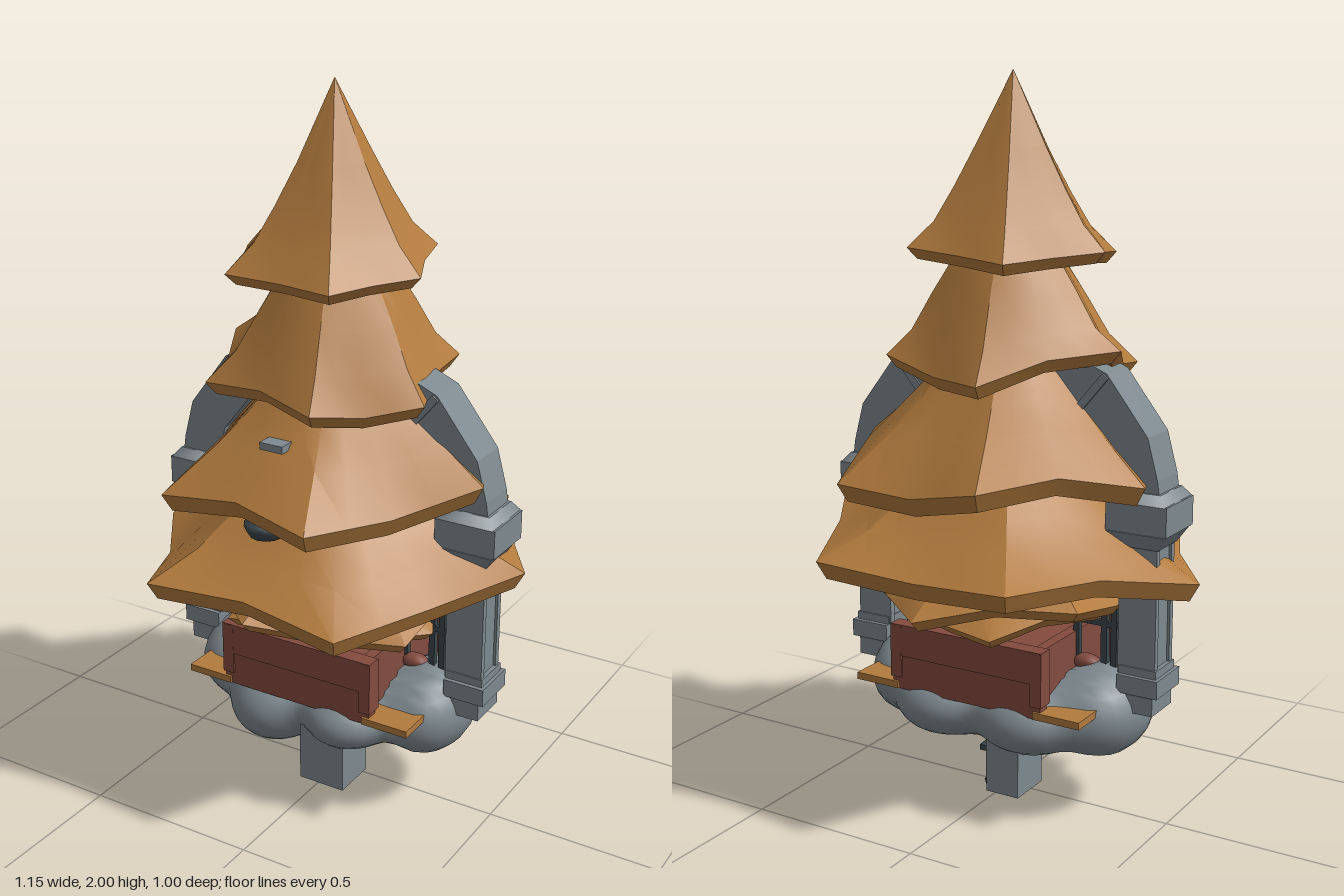
import * as THREE from 'three';
import { mergeVertices, toCreasedNormals } from 'three/addons/utils/BufferGeometryUtils.js';

const paint = (name, color) => {
  const m = new THREE.MeshStandardMaterial({ color });
  m.name = name;
  return m;
};

export function createModel() {
  const root = new THREE.Group();
  root.name = 'floatingTreeShrine';
  const tan = paint('goldenTan', 0xb27b3e);
  tan.side = THREE.DoubleSide;
  const stone = paint('stoneGrey', 0x7e898f);
  const brown = paint('redBrown', 0x834b3e);
  const iron = paint('darkIron', 0x3b464c);

  const add = (name, geo, mat, x = 0, y = 0, z = 0, parent = root) => {
    const m = new THREE.Mesh(geo, mat);
    m.name = name;
    m.position.set(x, y, z);
    parent.add(m);
    return m;
  };
  const box = (name, mat, w, h, d, x, y, z, parent) =>
    add(name, new THREE.BoxGeometry(w, h, d), mat, x, y, z, parent);
  const group = (name) => {
    const g = new THREE.Group();
    g.name = name;
    root.add(g);
    return g;
  };

  // Foliage skirt: six drooping tips joined by straight edges, a round-to-hexagonal
  // slope from the neck down to them, and a thin lip turned under to a hollow
  const tree = group('tree');
  function skirt(name, profile, tips, lip, dip, hex) {
    const N = 24, pos = [], index = [], rim = [];
    const corners = tips.map((t) => new THREE.Vector3(...t));
    corners.forEach((a, i) => {
      const b = corners[(i + 1) % 6];
      const valley = a.clone().add(b).multiply(new THREE.Vector3(0.475, 0.5, 0.475));
      valley.y += i % 2 ? dip : -dip;
      rim.push(a, a.clone().lerp(valley, 0.5), valley, valley.clone().lerp(b, 0.5));
    });
    const meanR = rim.reduce((s, v) => s + Math.hypot(v.x, v.z), 0) / N;
    const meanY = rim.reduce((s, v) => s + v.y, 0) / N;
    const ring = (r, y, star) => rim.forEach((v) => {
      const len = Math.hypot(v.x, v.z);
      const k = r * THREE.MathUtils.lerp(1, len / meanR, star) / len;
      pos.push(v.x * k, y + (v.y - meanY) * star, v.z * k);
    });
    profile.forEach(([r, y], k) => ring(r, y, k ? hex + (0.75 - hex) * k / profile.length : 0));
    ring(meanR, meanY, 1);
    ring(meanR - 0.025, meanY - lip, 1);
    ring(meanR * 0.6, meanY + lip * 0.5, 0.5);
    ring(0.001, meanY + lip * 1.5, 0);
    for (let k = 0; k < pos.length / 3 / N - 1; k++) for (let i = 0; i < N; i++) {
      const a = k * N + i, b = k * N + (i + 1) % N;
      index.push(a, b, a + N, b, b + N, a + N);
    }
    const g = new THREE.BufferGeometry();
    g.setAttribute('position', new THREE.Float32BufferAttribute(pos, 3));
    g.setIndex(index);
    return add(name, toCreasedNormals(g, 0.45), tan, 0, 0, 0, tree);
  }
  const star = (r, y, turn) => Array.from({ length: 6 }, (_, i) => {
    const a = turn + i * Math.PI / 3;
    return [r * Math.cos(a), y + (i % 2 ? 0.02 : -0.02), r * Math.sin(a)];
  });
  const crown = skirt('crownTier', [[0.001, 2], [0.09, 1.8], [0.145, 1.69], [0.195, 1.6]],
    [[0.28, 1.525, 0.04], [0.14, 1.51, 0.26], [-0.18, 1.52, 0.25], [-0.265, 1.54, 0.02], [-0.1, 1.52, -0.22], [0.19, 1.55, -0.22]], 0.03, 0, 0.7);
  crown.position.set(-0.025, 0, -0.02);
  skirt('upperTier', [[0.02, 1.53], [0.15, 1.5], [0.2, 1.41], [0.25, 1.31]],
    [[0.31, 1.21, 0.09], [0.1, 1.21, 0.31], [-0.27, 1.22, 0.24], [-0.35, 1.29, -0.02], [-0.1, 1.22, -0.33], [0.25, 1.26, -0.22]], 0.035, 0.02, 0.2);
  skirt('middleTier', [[0.02, 1.3], [0.17, 1.25], [0.24, 1.16], [0.32, 1.08]],
    [[0.48, 1.02, 0.08], [0.17, 0.95, 0.45], [-0.3, 0.95, 0.41], [-0.47, 0.96, -0.11], [-0.18, 0.98, -0.46], [0.28, 0.94, -0.41]], 0.05, 0.03, 0.2);
  skirt('lowerTier', [[0.02, 1.0], [0.24, 0.95], [0.32, 0.87], [0.4, 0.8]],
    [[0.575, 0.775, 0.01], [0.275, 0.70, 0.48], [-0.29, 0.73, 0.5], [-0.575, 0.69, 0.01], [-0.29, 0.75, -0.5], [0.285, 0.75, -0.5]], 0.05, 0.02, 0.2);
  skirt('bottomTier', [[0.02, 0.78], [0.22, 0.74], [0.31, 0.69]], star(0.43, 0.625, 0.61), 0.03, 0.02, 0.2);
  skirt('innerTier', [[0.02, 0.68], [0.16, 0.64], [0.22, 0.61]], star(0.33, 0.565, 0.14), 0.025, 0.015, 0.2);

  // Cloud base: a sphere pushed out to the surface of blended lobes
  const lobes = [
    [-0.3, 0.3, 0, 0.135, 0.13, 0.17], [0.3, 0.3, 0, 0.125, 0.13, 0.17],
    [0, 0.28, 0, 0.26, 0.1, 0.2], [-0.13, 0.25, 0.1, 0.14, 0.12, 0.165],
    [0.12, 0.28, 0.11, 0.13, 0.09, 0.16], [-0.14, 0.28, -0.11, 0.15, 0.1, 0.15],
    [0.13, 0.28, -0.1, 0.15, 0.1, 0.16],
  ];
  const field = (p) => lobes.reduce((s, [x, y, z, a, b, c]) =>
    s + Math.exp(-7 * (Math.hypot((p.x - x) / a, (p.y - y) / b, (p.z - z) / c) - 1)), 0);
  let cloud = new THREE.SphereGeometry(1, 72, 40);
  cloud.deleteAttribute('uv');
  cloud.deleteAttribute('normal');
  cloud = mergeVertices(cloud, 1e-4);
  const cp = cloud.attributes.position, dir = new THREE.Vector3(), p = new THREE.Vector3();
  for (let i = 0; i < cp.count; i++) {
    dir.fromBufferAttribute(cp, i).normalize();
    let lo = 0, hi = 0.7;
    for (let n = 0; n < 22; n++) {
      const mid = (lo + hi) / 2;
      p.copy(dir).multiplyScalar(mid);
      p.y += 0.28;
      if (field(p) > 1) lo = mid; else hi = mid;
    }
    cp.setXYZ(i, dir.x * lo, dir.y * lo + 0.28, dir.z * lo);
  }
  cloud.computeVertexNormals();
  add('cloudBase', cloud, stone);

  // Faceted stone arch running through the tree
  const outer = [[0.49, 0.9], [0.48, 0.97], [0.45, 1.08], [0.33, 1.235], [0.18, 1.3], [0, 1.32]];
  const inner = [[0, 1.2], [0.13, 1.185], [0.25, 1.13], [0.34, 1.02], [0.37, 0.9]];
  const half = [...outer, ...inner];
  for (const s of [1, -1]) {
    const shape = new THREE.Shape(half.map(([x, y]) => new THREE.Vector2(s * x, y)));
    const geo = new THREE.ExtrudeGeometry(shape, { depth: 0.12, bevelEnabled: false });
    const side = group(s > 0 ? 'leftColumn' : 'rightColumn');
    add('archHalf', geo, stone, 0, 0, -0.06, side);
    const band = box('archBand', stone, 0.13, 0.022, 0.132, s * 0.285, 1.18, 0, side);
    band.rotation.z = s * 0.87;

    // Column: stepped base, ribbed shaft and flared capital
    box('plinth', stone, 0.085, 0.05, 0.12, s * 0.435, 0.35, 0, side);
    box('plinthTop', stone, 0.12, 0.05, 0.14, s * 0.435, 0.405, 0, side);
    box('plinthStep', stone, 0.11, 0.025, 0.115, s * 0.43, 0.44, 0, side);
    box('shaft', stone, 0.095, 0.36, 0.08, s * 0.425, 0.61, 0, side);
    for (const e of [1, -1]) box('shaftRib', stone, 0.11, 0.36, 0.018, s * 0.425, 0.61, e * 0.044, side);
    const taper = (name, rt, rb, h, y) =>
      add(name, new THREE.CylinderGeometry(rt, rb, h, 4).rotateY(Math.PI / 4), stone, s * 0.427, y, 0, side);
    taper('capitalNeck', 0.12, 0.08, 0.045, 0.805);
    box('capital', stone, 0.175, 0.08, 0.165, s * 0.43, 0.868, 0, side);
    taper('capitalTop', 0.092, 0.12, 0.027, 0.921);

    // Iron railing between column and planter
    for (const x of [0.22, 0.305, 0.335]) box('railPost', iron, 0.018, 0.24, 0.018, s * x, 0.52, 0, side);
    box('railBar', iron, 0.24, 0.016, 0.016, s * 0.29, 0.54, 0, side);
  }

  // Planter with plank walls, end boards, a rounded rod and tan planks below
  const planter = group('planter');
  for (const s of [1, -1]) {
    box('wallLowerPlank', brown, 0.47, 0.1, 0.035, 0, 0.375, s * 0.215, planter);
    box('wallUpperPlank', brown, 0.48, 0.09, 0.045, 0, 0.468, s * 0.215, planter);
    box('endBoard', brown, 0.03, 0.15, 0.4, s * 0.205, 0.43, 0, planter);
    const knob = add('rodKnob', new THREE.SphereGeometry(0.03, 10, 8), brown, s * 0.25, 0.42, 0, planter);
    knob.scale.set(1.4, 0.75, 0.9);
    for (const e of [1, -1]) {
      box('cornerPost', brown, 0.035, 0.15, 0.05, e * 0.222, 0.435, s * 0.213, planter);
      box('footPlank', tan, 0.14, 0.02, 0.1, e * 0.285, 0.337, s * 0.19, planter);
    }
  }
  box('soil', brown, 0.42, 0.02, 0.4, 0, 0.45, 0, planter);

  // Stone blocks hanging under the cloud
  box('frontBlock', stone, 0.14, 0.17, 0.13, 0.075, 0.165, 0.155);
  box('backBlock', stone, 0.1, 0.17, 0.13, -0.11, 0.165, -0.155);

  // Lantern beneath the cloud: four-sided, iron frame round a tan pane
  const lantern = group('lantern');
  const four = (name, mat, rt, rb, h, y) =>
    add(name, new THREE.CylinderGeometry(rt, rb, h, 4).rotateY(Math.PI / 4), mat, 0, y, 0, lantern);
  four('foot', iron, 0.072, 0.066, 0.022, 0.011);
  four('footStep', iron, 0.05, 0.065, 0.015, 0.03);
  four('pane', tan, 0.055, 0.042, 0.08, 0.075);
  four('roofEdge', iron, 0.085, 0.085, 0.016, 0.12);
  four('roof', iron, 0.03, 0.085, 0.04, 0.148);
  add('hanger', new THREE.CylinderGeometry(0.015, 0.015, 0.06, 8), iron, 0, 0.18, 0, lantern);
  for (const x of [1, -1]) for (const z of [1, -1]) {
    const bar = box('frameBar', iron, 0.014, 0.085, 0.014, x * 0.034, 0.075, z * 0.034, lantern);
    bar.rotation.set(z * 0.11, 0, -x * 0.11);
  }

  // Lamp hung on the front of the tree
  const lamp = group('hangingLamp');
  lamp.position.set(-0.02, 0, 0.33);
  add('lampShade', new THREE.LatheGeometry([[0, 0.86], [0.045, 0.87], [0.06, 0.895], [0.058, 0.91], [0.025, 0.93], [0.012, 0.955], [0, 0.96]]
    .map(([x, y]) => new THREE.Vector2(x, y)), 12), iron, 0, 0, 0, lamp);
  box('lampBracket', stone, 0.07, 0.02, 0.05, 0.01, 1.11, -0.035, lamp);

  return root;
}
